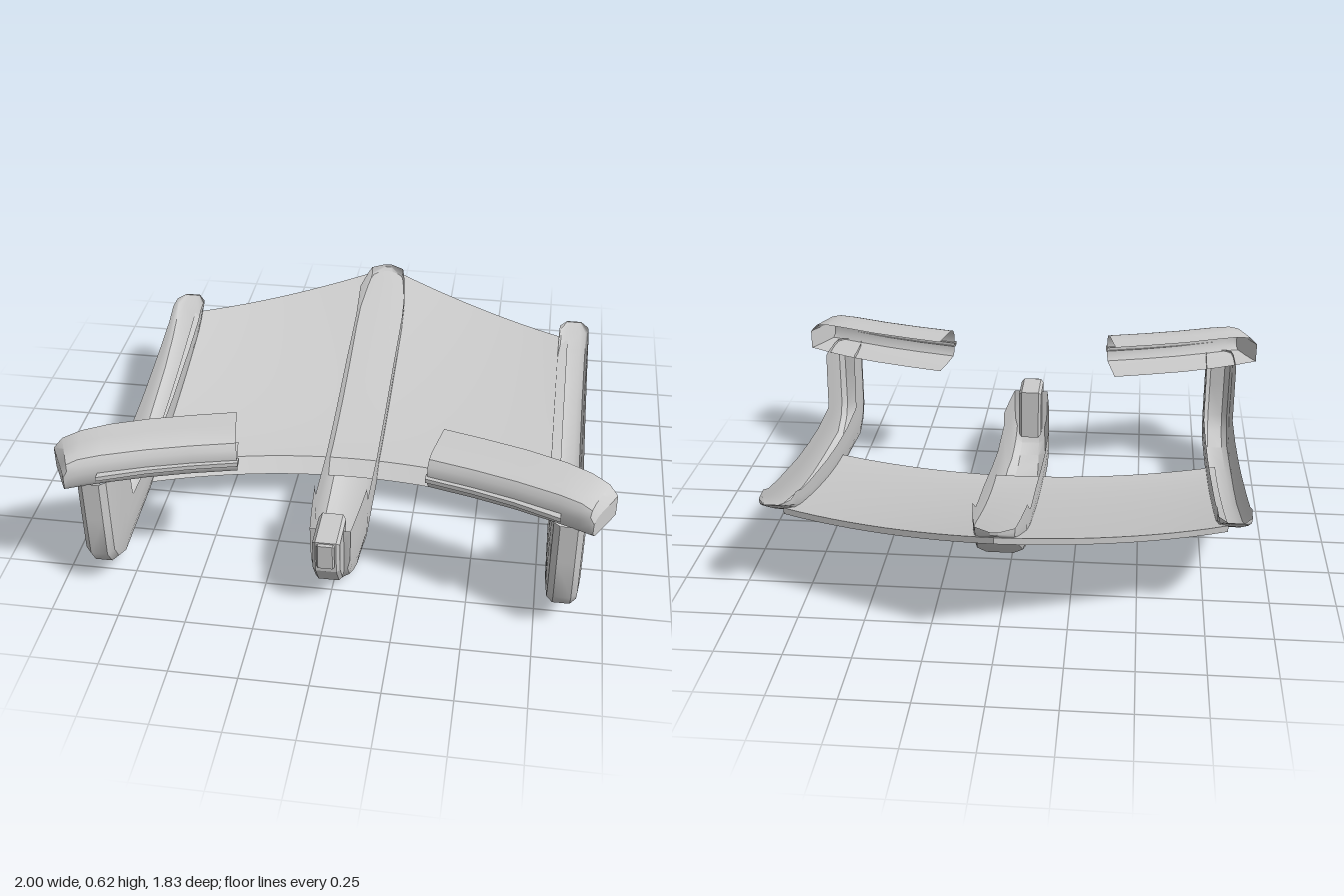
import * as THREE from 'three';
import { toCreasedNormals } from 'three/addons/utils/BufferGeometryUtils.js';

const grey = new THREE.MeshStandardMaterial({ color: 0xcccccc, side: THREE.DoubleSide });
const mesh = (name, geometry) => {
  const m = new THREE.Mesh(geometry, grey);
  m.name = name;
  return m;
};

// Skin a row of equal-length sections ([x, y, z] points), optionally filling either end
function loft(sections, { capStart = false, capEnd = false, crease = 0.6 } = {}) {
  const n = sections[0].length, index = [];
  for (let i = 0; i < sections.length - 1; i++) {
    for (let j = 0; j < n - 1; j++) {
      const a = i * n + j, b = a + n;
      index.push(a, b, a + 1, b, b + 1, a + 1);
    }
  }
  const cap = (o) => { for (let j = 1; j < n - 1; j++) index.push(o, o + j, o + j + 1); };
  if (capStart) cap(0);
  if (capEnd) cap((sections.length - 1) * n);
  const g = new THREE.BufferGeometry();
  g.setAttribute('position', new THREE.Float32BufferAttribute(sections.flat(2), 3));
  g.setIndex(index);
  return toCreasedNormals(g, crease);
}

// Open channel: each station is [outer z, outer y, rim z, rim y, half width]
function channel(stations, cx, floor, options) {
  // across = share of half width, depth = 0 at the rim, 1 at the outer edge
  const profile = [[1, 0], [1, 0.35], [0.97, 0.72], [0.85, 0.92], [floor, 1]];
  const full = [...profile, ...profile.slice().reverse().map(([a, d]) => [-a, d])];
  return loft(stations.map(([oz, oy, rz, ry, w]) => full.map(([a, d]) =>
    [cx + a * w, ry + (oy - ry) * d, rz + (oz - rz) * d])), options);
}

// Swept floor between the rails, with a lip turned down along the curved front edge
function deck() {
  const sections = [], columns = 24, rows = 14;
  for (let i = 0; i <= columns; i++) {
    const x = -0.82 + 1.64 * i / columns, ax = Math.abs(x);
    const front = 0.21 + 0.15 * (ax / 0.8) ** 2;
    const rear = -0.92 + 0.42 * ax;
    const rearY = 0.372 + 0.1 * Math.max(0, 1 - ax / 0.8) ** 1.8;
    const top = [];
    for (let k = 0; k <= rows; k++) {
      const s = k / rows;
      top.push([x, 0.18 + (rearY - 0.18) * s ** 1.4, front - 0.055 + (rear - front + 0.055) * s]);
    }
    const under = top.map(([px, y, z]) => [px, y - 0.025, z]).reverse();
    sections.push([[x, 0.13, front], ...top, ...under]);
  }
  return loft(sections);
}

// Curved hood on a post: flat top, rounded front, flat underside, open at the back
function hood() {
  const F = [[0.34, 0.725], [0.5, 0.765], [0.65, 0.81], [0.8, 0.865], [0.87, 0.893], [0.905, 0.908], [0.92, 0.912]];
  const B = [[0.38, 0.53], [0.53, 0.57], [0.68, 0.615], [0.82, 0.67], [0.91, 0.715], [0.97, 0.75], [1.0, 0.765]];
  const topY = [0.625, 0.625, 0.625, 0.625, 0.62, 0.605, 0.57];
  const profile = [[0, 1], [0.4, 1], [0.75, 1], [0.9, 0.92], [0.98, 0.75], [1, 0.5], [0.98, 0.2], [0.9, 0.03], [0.5, 0], [0, 0]];
  return loft(F.map((f, i) => profile.map(([d, h]) => [
    B[i][0] + (f[0] - B[i][0]) * d,
    0.49 + (topY[i] - 0.49) * h,
    B[i][1] + (f[1] - B[i][1]) * d,
  ])), { capEnd: true });
}

// Slim ledge along the front of the hood
function ledge() {
  const path = [[0.335, 0.74], [0.5, 0.782], [0.65, 0.83], [0.81, 0.895]];
  return loft(path.map(([x, z]) =>
    [[x, 0.553, z - 0.03], [x, 0.553, z], [x, 0.537, z], [x, 0.537, z - 0.03]]),
  { capStart: true, capEnd: true });
}

// Block at the bow, drawn from the side and extruded across x
function bowBlock(points, width, bevel) {
  const shape = new THREE.Shape(points.map(([z, y]) => new THREE.Vector2(-z, y)));
  const g = new THREE.ExtrudeGeometry(shape, {
    depth: width - 2 * bevel, bevelThickness: bevel, bevelSize: bevel, bevelOffset: -bevel, bevelSegments: 1,
  });
  g.translate(0, 0, -(width - 2 * bevel) / 2);
  g.rotateY(Math.PI / 2);
  return g;
}

export function createModel() {
  const model = new THREE.Group();
  model.name = 'sledHull';
  model.add(mesh('deck', deck()));

  // Central keel, by upright slices: z, bottom, rim, half width
  const keel = [
    [0.77, 0.12, 0.31, 0.074], [0.74, 0.065, 0.31, 0.078], [0.68, 0.03, 0.31, 0.084],
    [0.62, 0.008, 0.31, 0.09], [0.51, 0.01, 0.31, 0.099], [0.5, 0.011, 0.25, 0.1],
    [0.23, 0.055, 0.255, 0.1], [0, 0.1, 0.295, 0.1], [-0.3, 0.177, 0.36, 0.1],
    [-0.5, 0.228, 0.395, 0.1], [-0.59, 0.25, 0.415, 0.1], [-0.7, 0.292, 0.49, 0.098],
    [-0.81, 0.385, 0.49, 0.083], [-0.88, 0.447, 0.49, 0.07], [-0.915, 0.477, 0.49, 0.015],
  ].map(([z, bottom, rim, w]) => [z, bottom, z, rim, w]);
  model.add(mesh('keel', channel(keel, 0, 0.5, { capStart: true, capEnd: true })));
  model.add(mesh('bowBlock', bowBlock(
    [[0.7, 0.33], [0.87, 0.33], [0.87, 0.2], [0.81, 0.11], [0.7, 0.11]], 0.1, 0.012)));
  model.add(mesh('bowPlate', bowBlock(
    [[0.86, 0.325], [0.885, 0.325], [0.885, 0.225], [0.86, 0.225]], 0.065, 0.006)));

  // Each side: a rail that turns up into a post, topped by a hood
  const rail = [
    [0.87, 0.5, 0.63, 0.51, 0.0625], [0.87, 0.34, 0.62, 0.4, 0.0625], [0.868, 0.18, 0.615, 0.32, 0.0625],
    [0.83, 0.12, 0.61, 0.27, 0.0625], [0.74, 0.075, 0.6, 0.265, 0.0625], [0.42, 0.1, 0.4, 0.26, 0.0625],
    [0.2, 0.122, 0.2, 0.275, 0.0625], [0, 0.153, 0, 0.3, 0.0625], [-0.3, 0.236, -0.3, 0.355, 0.0625],
    [-0.45, 0.3, -0.45, 0.388, 0.0625], [-0.53, 0.345, -0.53, 0.42, 0.0625],
    [-0.6, 0.39, -0.6, 0.42, 0.06], [-0.645, 0.416, -0.645, 0.42, 0.03],
  ];
  for (const side of [1, -1]) {
    const half = new THREE.Group();
    half.name = side > 0 ? 'leftSide' : 'rightSide';
    half.add(mesh('railAndPost', channel(rail, 0.8425, 0.5, { capEnd: true })));
    half.add(mesh('hood', hood()), mesh('hoodLedge', ledge()));
    half.scale.x = side;
    model.add(half);
  }
  return model;
}
